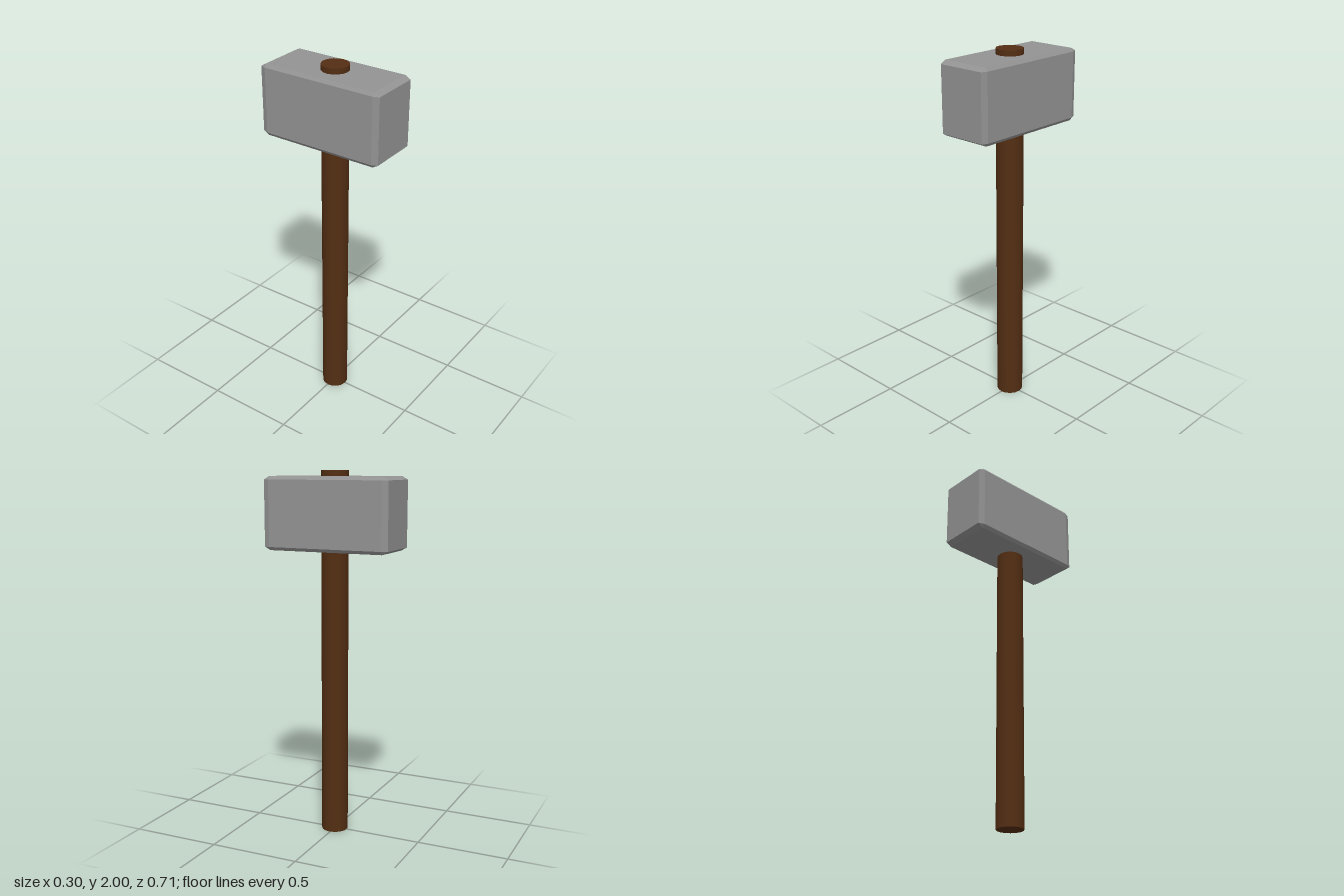
import * as THREE from 'three';
import { ConvexGeometry } from 'three/addons/geometries/ConvexGeometry.js';

// Box with chamfered edges: each corner is split into three points
function chamferedBox(hx, hy, hz, k) {
  const points = [];
  for (const x of [-1, 1]) for (const y of [-1, 1]) for (const z of [-1, 1]) {
    for (const [a, b, c] of [[1, k, k], [k, 1, k], [k, k, 1]]) {
      points.push(new THREE.Vector3(x * a * hx, y * b * hy, z * c * hz));
    }
  }
  return new ConvexGeometry(points);
}

export function createModel() {
  const group = new THREE.Group();

  // Wooden handle, running through the head and out of its top
  const handle = new THREE.Mesh(
    new THREE.CylinderGeometry(0.073, 0.073, 2, 16),
    new THREE.MeshStandardMaterial({ color: 0x532e13 })
  );
  handle.name = 'handle';
  handle.position.set(0, 1, 0.004);
  group.add(handle);

  // Heavy block head
  const head = new THREE.Mesh(
    chamferedBox(0.15, 0.195, 0.355, 0.91),
    new THREE.MeshStandardMaterial({ color: 0x939393, flatShading: true })
  );
  head.name = 'head';
  head.position.y = 1.775;
  group.add(head);

  return group;
}
